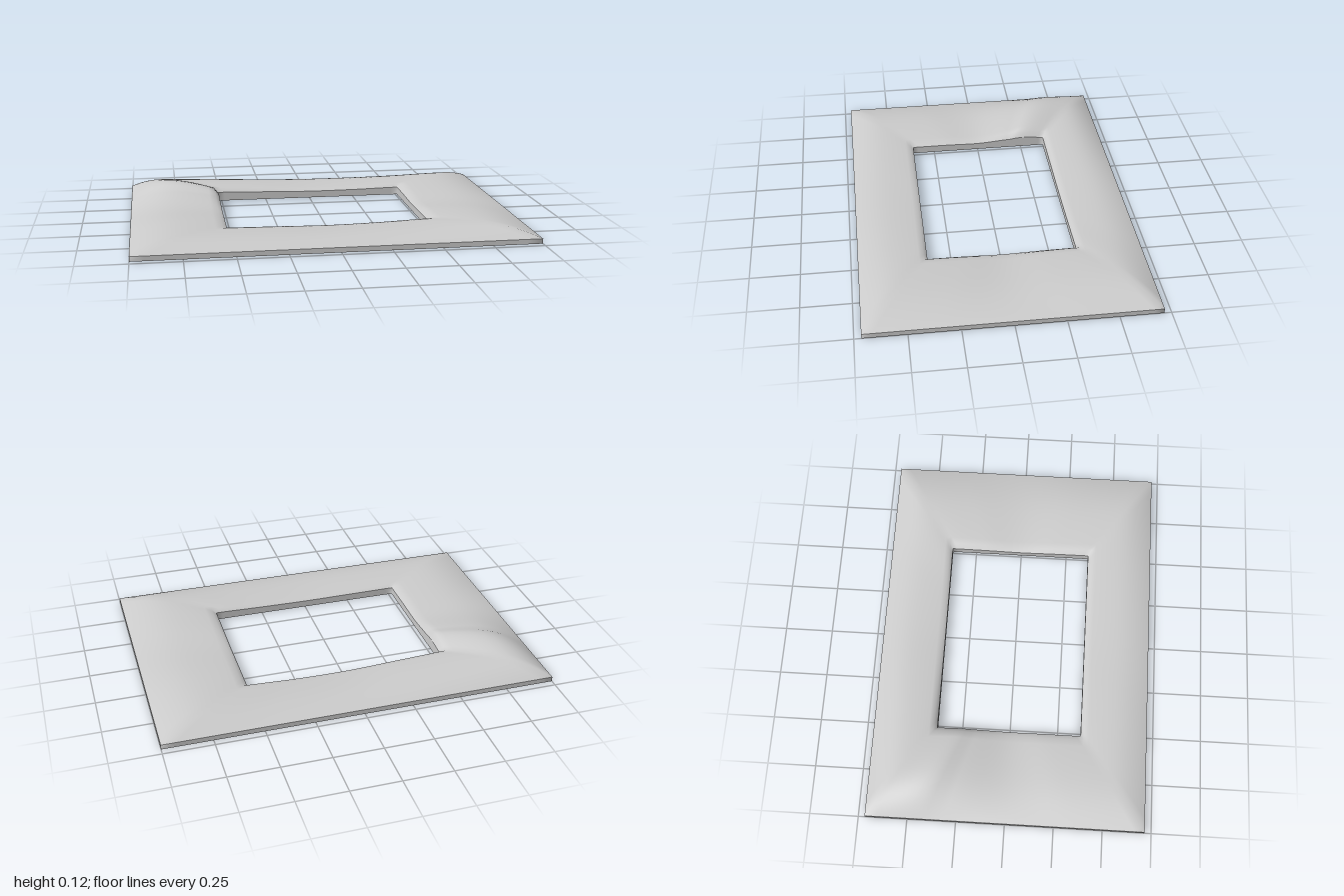
import * as THREE from 'three';

const PER_SIDE = 28, COUNT = PER_SIDE * 4;
const EDGE = 0.025;

// Corners run back-left, back-right, front-right, front-left
const outer = [[-1, -0.715], [1, -0.715], [1, 0.715], [-1, 0.715]];
const inner = [[-0.52, -0.38], [0.51, -0.38], [0.51, 0.37], [-0.52, 0.37]];

// Crest height of the mound, four stations per side: back, right, front, left
const crest = [
  0.092, 0.075, 0.058, 0.06,
  0.074, 0.069, 0.056, 0.07,
  0.075, 0.062, 0.055, 0.06,
  0.065, 0.066, 0.06, 0.1,
];
const crestCurve = new THREE.CatmullRomCurve3(
  crest.map((h, i) => new THREE.Vector3(i, h, 0)), true);
const crestAt = (i) => crestCurve.getPoint(i / COUNT).y;

// Share of the crest height across the frame: 0 at the outer edge, 1 at the opening
function profile(t) {
  if (t < 0.5) return 1 - (1 - t / 0.5) ** 2;
  if (t < 0.95) return 1 - 0.28 * ((t - 0.5) / 0.45) ** 2;
  return THREE.MathUtils.lerp(0.72, 0.35, (t - 0.95) / 0.05);
}

// Point on the mitred frame at perimeter step i and inward fraction t
function framePoint(i, t) {
  const side = Math.floor(i / PER_SIDE), u = (i % PER_SIDE) / PER_SIDE;
  const along = (c, k) => THREE.MathUtils.lerp(c[side][k], c[(side + 1) % 4][k], u);
  return [0, 1].map((k) => THREE.MathUtils.lerp(along(outer, k), along(inner, k), t));
}

const topHeight = (i, t) => EDGE + (crestAt(i) - EDGE) * profile(t);

// Closed band joining successive rings; each ring is { t, y(i) }
function band(name, rings, material) {
  const pos = [], index = [];
  for (const { t, y } of rings) {
    for (let i = 0; i < COUNT; i++) {
      const [x, z] = framePoint(i, t);
      pos.push(x, y(i), z);
    }
  }
  for (let r = 0; r < rings.length - 1; r++) {
    for (let i = 0; i < COUNT; i++) {
      const n = (i + 1) % COUNT;
      const a = r * COUNT + i, b = r * COUNT + n;
      const c = a + COUNT, d = b + COUNT;
      index.push(a, c, b, b, c, d);
    }
  }
  const geometry = new THREE.BufferGeometry();
  geometry.setAttribute('position', new THREE.Float32BufferAttribute(pos, 3));
  geometry.setIndex(index);
  geometry.computeVertexNormals();
  const mesh = new THREE.Mesh(geometry, material);
  mesh.name = name;
  return mesh;
}

export function createModel() {
  const group = new THREE.Group();
  group.name = 'moundedFrame';
  const material = new THREE.MeshStandardMaterial({ color: 0xcccccc });
  const ground = (t) => ({ t, y: () => 0 });
  const top = (t) => ({ t, y: (i) => topHeight(i, t) });

  // Undulating upper surface
  const steps = [0, 0.05, 0.1, 0.16, 0.23, 0.31, 0.4, 0.5, 0.6, 0.7, 0.8, 0.88, 0.95, 1];
  group.add(band('undulatingTop', steps.map(top), material));

  // Thin walls around the outside and the opening, and the flat underside
  group.add(band('outerWall', [ground(0), top(0)], material));
  group.add(band('openingWall', [top(1), ground(1)], material));
  group.add(band('underside', [ground(1), ground(0)], material));
  return group;
}
